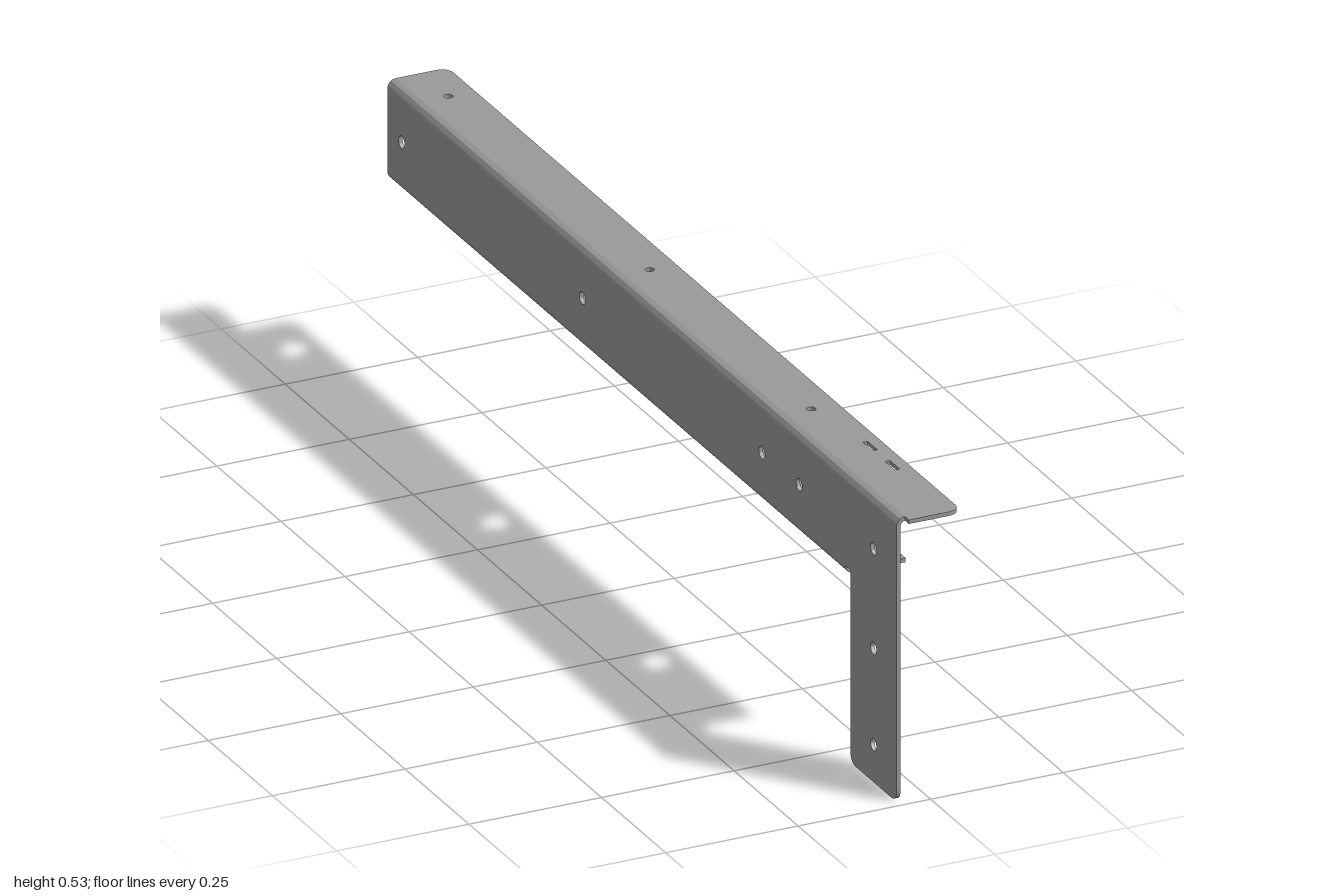
import * as THREE from 'three';
import { toCreasedNormals } from 'three/addons/utils/BufferGeometryUtils.js';

const T = 0.0075;                // sheet thickness
const R = 0.016;                 // outer bend radius
const X0 = -0.057, X1 = 0.057;   // back of the web, free edge of the flanges
const TOP = 0.53, LOW = 0.343;   // top of upper flange, underside of lower flange
const BACK = -1, FRONT = 0.985;

const material = new THREE.MeshStandardMaterial({ color: 0x989a98 });

// Closed outline from [x, y, cornerRadius] points
function outline(points) {
  const shape = new THREE.Shape();
  const n = points.length;
  points.forEach(([x, y, r = 0], i) => {
    const p = new THREE.Vector2(x, y);
    const toward = ([qx, qy]) => new THREE.Vector2(qx, qy).sub(p).setLength(r).add(p);
    const a = r ? toward(points[(i + n - 1) % n]) : p;
    const b = r ? toward(points[(i + 1) % n]) : p;
    if (i === 0) shape.moveTo(a.x, a.y);
    else shape.lineTo(a.x, a.y);
    if (r) shape.quadraticCurveTo(x, y, b.x, b.y);
  });
  shape.closePath();
  return shape;
}

function addHole(shape, x, y, r) {
  shape.holes.push(new THREE.Path().absarc(x, y, r, 0, Math.PI * 2, true));
}

function extrude(shape, depth) {
  const g = new THREE.ExtrudeGeometry(shape, { depth, bevelEnabled: false, curveSegments: 12 });
  return toCreasedNormals(g, 0.6);
}

function mesh(name, geometry) {
  const m = new THREE.Mesh(geometry, material);
  m.name = name;
  return m;
}

// Horizontal sheet: outline drawn in (x, -z), raised to height y
function flange(name, shape, y) {
  return mesh(name, extrude(shape, T).rotateX(-Math.PI / 2).translate(0, y, 0));
}

// Quarter-round fold running along z
function bend(name, cy, startAngle, z0, z1) {
  const s = new THREE.Shape();
  const end = startAngle + Math.PI / 2;
  s.absarc(X0 + R, cy, R, startAngle, end, false);
  s.absarc(X0 + R, cy, R - T, end, startAngle, true);
  s.closePath();
  return mesh(name, extrude(s, z1 - z0).translate(0, 0, z0));
}

export function createModel() {
  const group = new THREE.Group();
  group.name = 'mountingBracket';

  // Upright web with the front leg, outline drawn in (z, y)
  const web = outline([
    [BACK, LOW + R], [0.805, LOW + R], [0.805, 0, 0.022], [FRONT, 0, 0.022],
    [FRONT, TOP - R], [BACK, TOP - R],
  ]);
  for (const z of [0.895, 0.605, 0.46, -0.24, -0.945]) addHole(web, z, 0.436, 0.0115);
  for (const y of [0.25, 0.07]) addHole(web, 0.895, y, 0.0115);
  group.add(mesh('webAndLeg', extrude(web, T).rotateY(-Math.PI / 2).translate(X0 + T, 0, 0)));

  // Folds joining the web to the flanges; the lower one stops at a relief notch
  group.add(bend('upperBend', TOP - R, Math.PI / 2, BACK, FRONT));
  group.add(bend('lowerBend', LOW + R, Math.PI, BACK, 0.785));

  // Upper flange with screw holes and two slots
  const holeX = 0.007, holeZ = [-0.895, -0.11, 0.52];
  const upper = outline([
    [X0 + R, -1], [X1, -1, 0.025], [X1, 1, 0.025], [X0 + R, 1],
  ]);
  for (const z of holeZ) addHole(upper, holeX, -z, 0.008);
  for (const z of [0.70, 0.787]) {
    const w = 0.0045, l = 0.019;
    upper.holes.push(new THREE.Path([
      [-w, -l], [-w, l], [w, l], [w, -l],
    ].map(([x, y]) => new THREE.Vector2(0.031 + x, y - z))));
  }
  group.add(flange('upperFlange', upper, TOP - T));

  // Lower flange with wide access holes beneath the screw holes
  const lower = outline([
    [X0 + R, -0.785], [X1, -0.785], [X1, 1, 0.025], [X0 + R, 1],
  ]);
  for (const z of holeZ) addHole(lower, holeX, -z, 0.0265);
  group.add(flange('lowerFlange', lower, LOW));

  return group;
}
